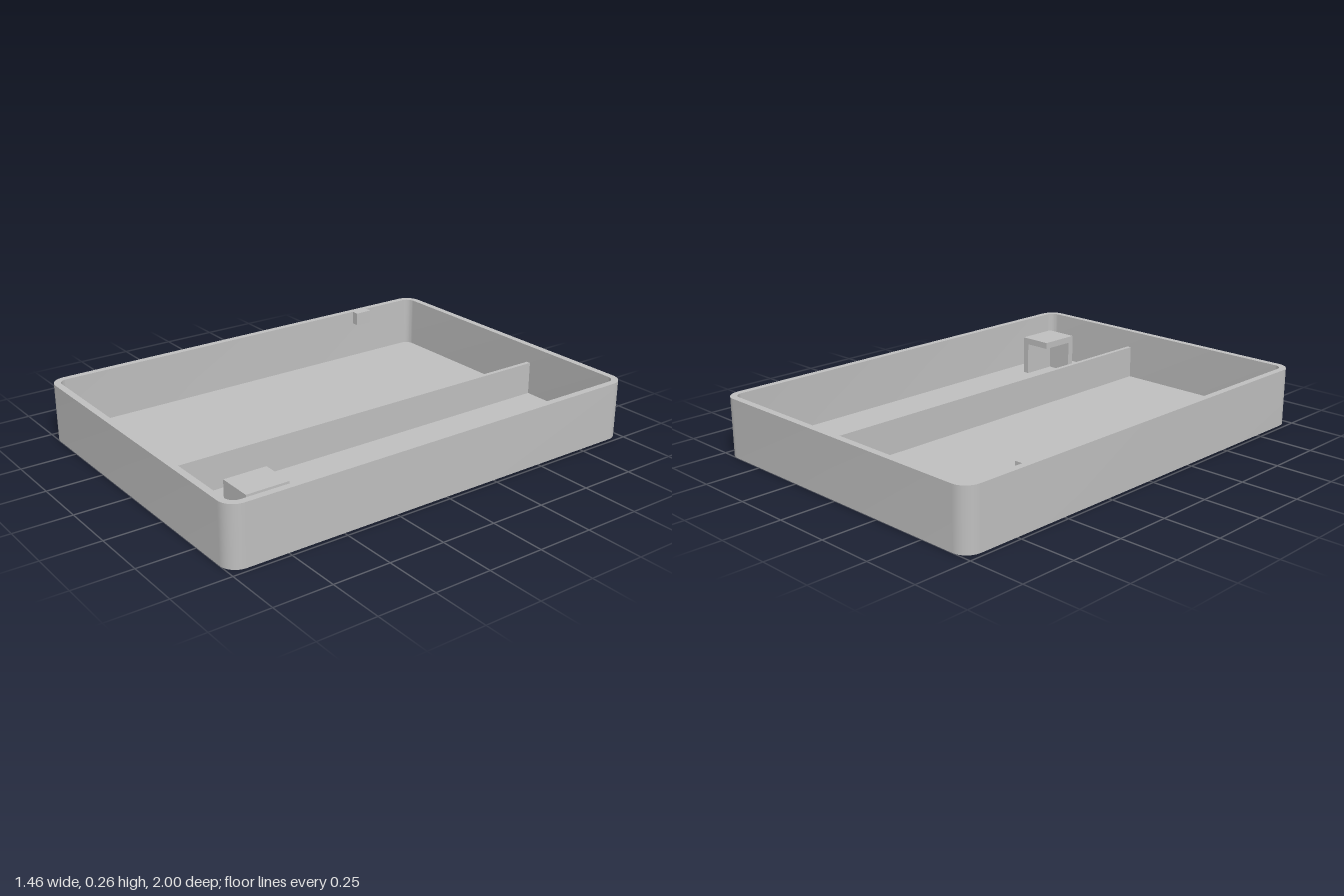
import * as THREE from 'three';
import { toCreasedNormals } from 'three/addons/utils/BufferGeometryUtils.js';

const HALF_X = 0.73, HALF_Z = 1, HEIGHT = 0.26, WALL = 0.03, FLOOR = 0.03;
const CORNER_STEPS = 10;

// Rounded rectangle at height y, counter-clockwise seen from above
function roundedLoop(hx, hz, r, y) {
  const points = [];
  const signs = [[1, 1], [-1, 1], [-1, -1], [1, -1]];
  signs.forEach(([sx, sz], corner) => {
    for (let i = 0; i <= CORNER_STEPS; i++) {
      const a = (corner + i / CORNER_STEPS) * Math.PI / 2;
      points.push([sx * (hx - r) + r * Math.cos(a), y, -sz * (hz - r) - r * Math.sin(a)]);
    }
  });
  return points;
}

// Joins successive loops with quads; collapsed loops close the surface
function loft(loops) {
  const positions = [];
  const same = (p, q) => p.every((v, i) => Math.abs(v - q[i]) < 1e-9);
  const triangle = (a, b, c) => {
    if (!same(a, b) && !same(b, c) && !same(a, c)) positions.push(...a, ...b, ...c);
  };
  for (let k = 0; k < loops.length - 1; k++) {
    const low = loops[k], high = loops[k + 1];
    low.forEach((p, i) => {
      const j = (i + 1) % low.length;
      triangle(p, low[j], high[j]);
      triangle(p, high[j], high[i]);
    });
  }
  const geometry = new THREE.BufferGeometry();
  geometry.setAttribute('position', new THREE.Float32BufferAttribute(positions, 3));
  return toCreasedNormals(geometry, Math.PI / 6);
}

export function createModel() {
  const model = new THREE.Group();
  model.name = 'dividedTray';
  const grey = new THREE.MeshStandardMaterial({ color: 0xbfbfbf });
  grey.name = 'grey';

  // Box given by its minimum and maximum on each axis
  const addBox = (parent, name, [x0, x1], [y0, y1], [z0, z1]) => {
    const mesh = new THREE.Mesh(new THREE.BoxGeometry(x1 - x0, y1 - y0, z1 - z0), grey);
    mesh.position.set((x0 + x1) / 2, (y0 + y1) / 2, (z0 + z1) / 2);
    mesh.name = name;
    parent.add(mesh);
  };

  // Open tray: underside, outer wall, rim, inner wall, floor
  const inX = HALF_X - WALL, inZ = HALF_Z - WALL;
  const tray = new THREE.Mesh(loft([
    roundedLoop(0, 0, 0, 0),
    roundedLoop(HALF_X, HALF_Z, 0.07, 0),
    roundedLoop(HALF_X, HALF_Z, 0.07, HEIGHT),
    roundedLoop(inX, inZ, 0.04, HEIGHT),
    roundedLoop(inX, inZ, 0.04, FLOOR),
    roundedLoop(0, 0, 0, FLOOR),
  ]), grey);
  tray.name = 'tray';
  model.add(tray);

  // Low partition running the full depth
  addBox(model, 'divider', [0.17, 0.19], [FLOOR, 0.18], [-inZ, inZ]);

  // Small block on the side wall, flush with the rim
  addBox(model, 'wallBlock', [-inX, -0.665], [0.2, HEIGHT], [-0.695, -0.613]);

  // Raised platform carried by two walls that meet in an L
  const stand = new THREE.Group();
  stand.name = 'stand';
  model.add(stand);
  addBox(stand, 'standTop', [0.445, 0.6], [0.18, 0.21], [0.655, 0.845]);
  addBox(stand, 'standSideWall', [0.57, 0.6], [FLOOR, 0.18], [0.655, 0.845]);
  addBox(stand, 'standFrontWall', [0.445, 0.57], [FLOOR, 0.18], [0.815, 0.845]);

  return model;
}
